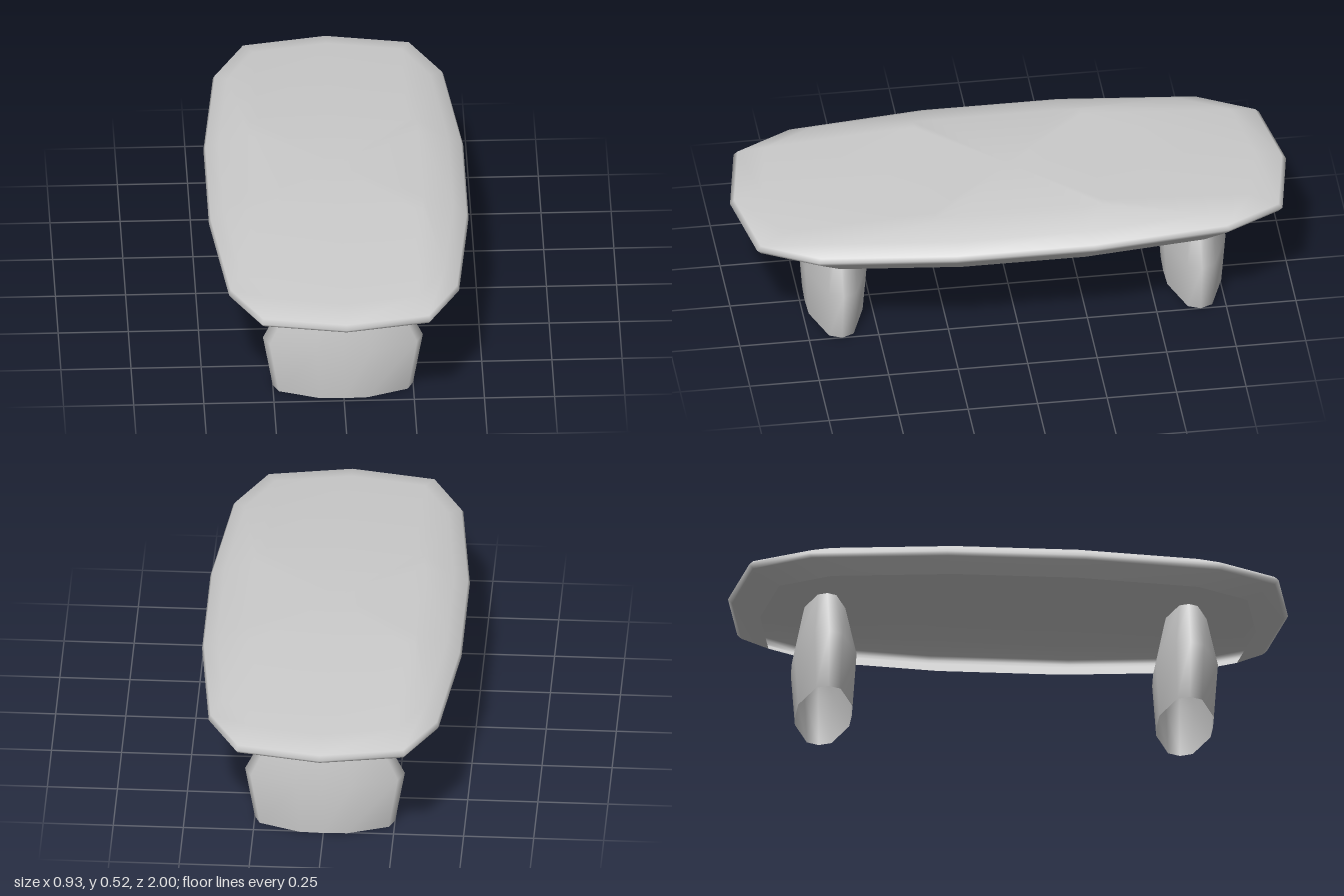
import * as THREE from 'three';

const material = new THREE.MeshStandardMaterial({ color: 0xcccccc, side: THREE.DoubleSide });

// Completes a closed [x, z] outline from the points of one quarter and the point on each axis
function mirrorOutline(quarter, sideTip, endTip) {
  const part = (sx, sz) => quarter.map(([x, z]) => [x * sx, z * sz]);
  const side = (s) => (sideTip ? [[sideTip * s, 0]] : []);
  return [
    ...side(1), ...part(1, 1), [0, endTip], ...part(-1, 1).reverse(),
    ...side(-1), ...part(-1, -1), [0, -endTip], ...part(1, -1).reverse(),
  ];
}

const scaled = (outline, s) => outline.map(([x, z]) => [x * s, z * s]);
const limit = (v, max) => THREE.MathUtils.clamp(v, -max, max);

// Skins a stack of { y, loop } sections, optionally closing the top with a flat fan
function loft(sections, closeTop) {
  const n = sections[0].loop.length;
  const points = sections.flatMap(({ y, loop }) => loop.flatMap(([x, z]) => [x, y, z]));
  const index = [];
  for (let r = 0; r < sections.length - 1; r++) {
    for (let i = 0; i < n; i++) {
      const a = r * n + i;
      const b = r * n + (i + 1) % n;
      index.push(a, a + n, b, b, a + n, b + n);
    }
  }
  if (closeTop) {
    const first = (sections.length - 1) * n;
    const centre = points.length / 3;
    points.push(0, sections[sections.length - 1].y, 0);
    for (let i = 0; i < n; i++) index.push(centre, first + (i + 1) % n, first + i);
  }
  const geometry = new THREE.BufferGeometry();
  geometry.setAttribute('position', new THREE.Float32BufferAttribute(points, 3));
  geometry.setIndex(index);
  geometry.computeVertexNormals();
  return geometry;
}

// Tabletop: hollow shell open below, with a bulging rim and long slopes up to a small flat
function tabletopGeometry() {
  const outline = mirrorOutline([[0.463, 0.25], [0.41, 0.74], [0.30, 0.945]], 0, 1);
  const midLoop = scaled(outline, 0.985);
  const innerLoop = scaled(outline, 0.885);
  const flatLoop = innerLoop.map(([x, z]) => [limit(x, 0.3), limit(z, 0.3)]);
  return loft([
    { y: 0.38, loop: innerLoop },
    { y: 0.43, loop: midLoop },
    { y: 0.445, loop: outline },
    { y: 0.46, loop: midLoop },
    { y: 0.49, loop: innerLoop },
    { y: 0.524, loop: flatLoop },
  ], true);
}

// Ten-sided leg with blunt ends, widest at mid height and open at both ends
function legGeometry() {
  const ring = mirrorOutline([[0.23, 0.044], [0.085, 0.097]], 0.25, 0.1);
  return loft([
    { y: 0, loop: ring },
    { y: 0.2, loop: scaled(ring, 1.14) },
    { y: 0.394, loop: scaled(ring, 0.75) },
  ], false);
}

function addMesh(parent, name, geometry) {
  const mesh = new THREE.Mesh(geometry, material);
  mesh.name = name;
  parent.add(mesh);
  return mesh;
}

export function createModel() {
  const table = new THREE.Group();
  table.name = 'table';

  addMesh(table, 'tabletop', tabletopGeometry());

  const leg = legGeometry();
  addMesh(table, 'frontLeg', leg).position.z = 0.632;
  addMesh(table, 'backLeg', leg).position.z = -0.658;
  return table;
}
